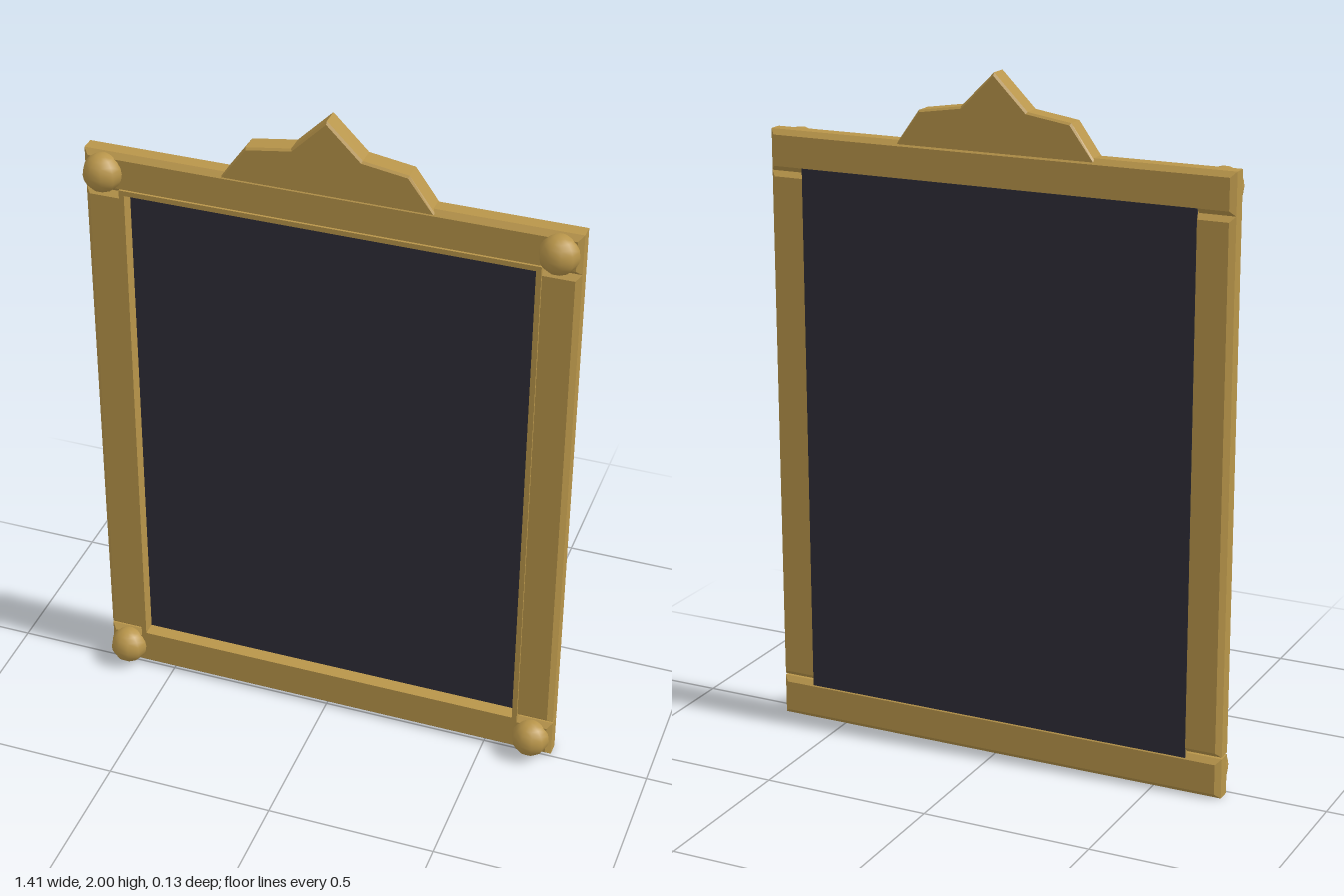
import * as THREE from 'three';

export function createModel() {
  const gold = new THREE.MeshStandardMaterial({ color: 0xb8954a });
  gold.name = 'antiqueGold';
  const dark = new THREE.MeshStandardMaterial({ color: 0x2e2d38 });
  dark.name = 'darkGlass';
  const root = new THREE.Group();
  root.name = 'ornateFrame';

  const add = (name, geometry, material, x = 0, y = 0, z = 0) => {
    const mesh = new THREE.Mesh(geometry, material);
    mesh.name = name;
    mesh.position.set(x, y, z);
    root.add(mesh);
    return mesh;
  };

  // Chamfered slab: outline extruded from z0 to z1, bevel included in the depth
  const slab = (points, z0, z1, bevel) => {
    const shape = new THREE.Shape(points.map(([x, y]) => new THREE.Vector2(x, y)));
    const g = new THREE.ExtrudeGeometry(shape, {
      depth: z1 - z0 - 2 * bevel, bevelEnabled: true, bevelThickness: bevel,
      bevelSize: bevel, bevelOffset: -bevel, bevelSegments: 1,
    });
    return g.translate(0, 0, z0 + bevel);
  };
  const bar = (w, h) => slab(
    [[-w / 2, -h / 2], [w / 2, -h / 2], [w / 2, h / 2], [-w / 2, h / 2]], -0.065, 0.005, 0.015);

  // Four chamfered rails
  add('topRail', bar(1.41, 0.12), gold, 0, 1.73);
  add('bottomRail', bar(1.41, 0.12), gold, 0, 0.065);
  for (const [side, s] of [['left', 1], ['right', -1]]) {
    add(side + 'Rail', bar(0.12, 1.545), gold, s * 0.645, 0.8975);
  }

  // Inner lip, standing slightly proud of the rails
  const lip = new THREE.Shape();
  lip.moveTo(-0.6, 0.11).lineTo(0.6, 0.11).lineTo(0.6, 1.685).lineTo(-0.6, 1.685).closePath();
  const opening = new THREE.Path();
  opening.moveTo(-0.585, 0.125).lineTo(-0.585, 1.67).lineTo(0.585, 1.67).lineTo(0.585, 0.125).closePath();
  lip.holes.push(opening);
  add('innerLip', new THREE.ExtrudeGeometry(lip, { depth: 0.072, bevelEnabled: false }), gold, 0, 0, -0.06);

  // Dark panel, recessed in front and flush at the back
  add('panel', new THREE.BoxGeometry(1.2, 1.575, 0.036), dark, 0, 0.8975, -0.048);

  // Pointed crest on the top rail
  const half = [[0.305, 1.775], [0.23, 1.88], [0.1, 1.9]];
  const crest = [...half, [0, 2], ...half.map(([x, y]) => [-x, y]).reverse()];
  add('crest', slab(crest, -0.06, 0.004, 0.006), gold);

  // Corner knobs
  const knob = new THREE.SphereGeometry(0.056, 10, 10);
  for (const [side, s] of [['Left', 1], ['Right', -1]]) {
    add('top' + side + 'Knob', knob, gold, s * 0.645, 1.733, 0.01);
    add('bottom' + side + 'Knob', knob, gold, s * 0.645, 0.065, 0.01);
  }

  // Rest exactly on the ground
  root.children.forEach((m) => { if (m.name === 'bottomRail') m.position.y = 0.06; });
  return root;
}
